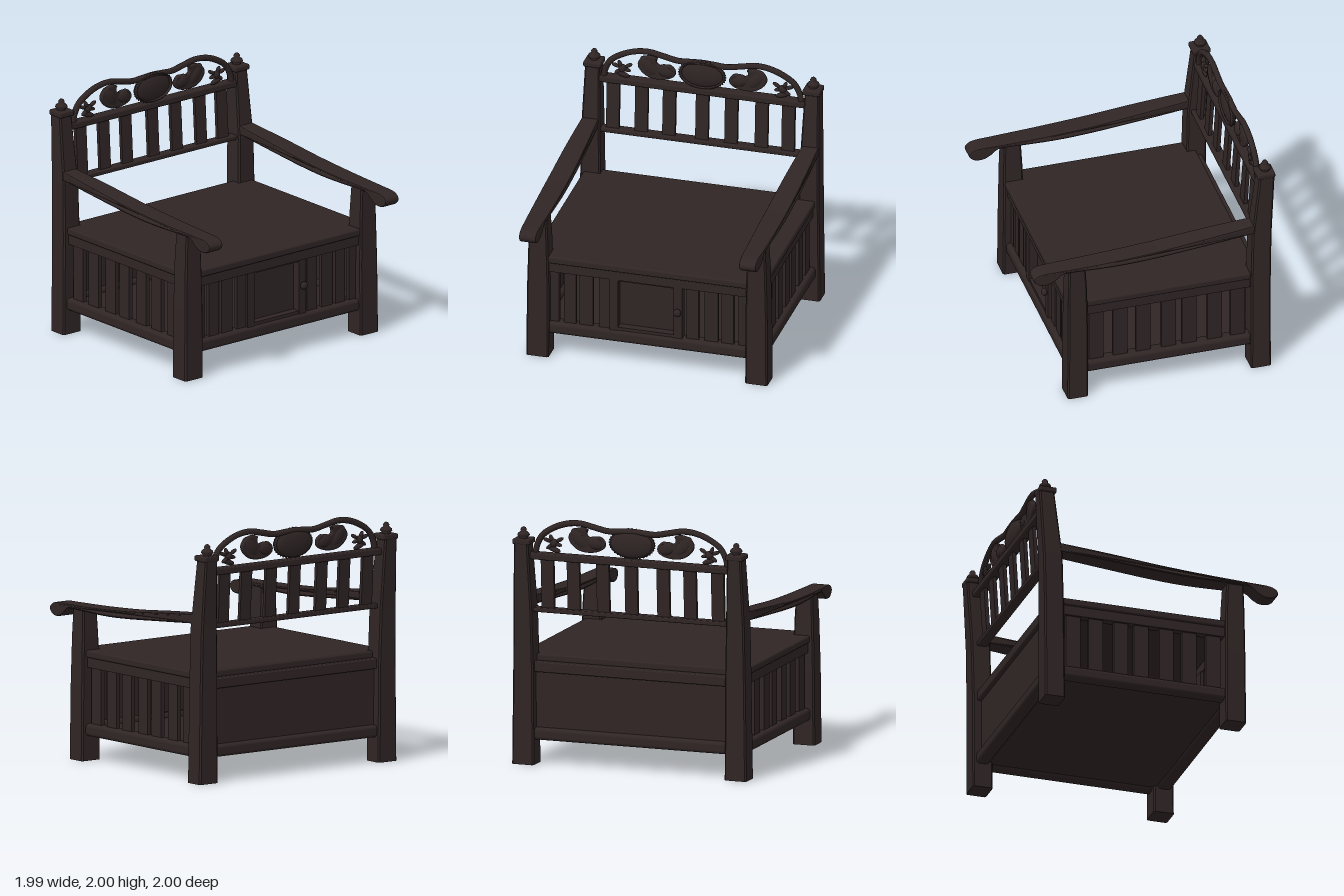
import * as THREE from 'three';
import { RoundedBoxGeometry } from 'three/addons/geometries/RoundedBoxGeometry.js';

const wood = new THREE.MeshStandardMaterial({ color: 0x302525 });
wood.name = 'dark wood';

export function createModel() {
  const model = new THREE.Group();
  model.name = 'bench';

  const add = (name, geo, x = 0, y = 0, z = 0) => {
    const m = new THREE.Mesh(geo, wood);
    m.name = name;
    m.position.set(x, y, z);
    model.add(m);
    return m;
  };
  // Box given by its extents, optionally with softened edges
  const box = (name, x0, x1, y0, y1, z0, z1, r = 0) => {
    const s = [x1 - x0, y1 - y0, z1 - z0];
    const geo = r ? new RoundedBoxGeometry(...s, 2, r) : new THREE.BoxGeometry(...s);
    return add(name, geo, (x0 + x1) / 2, (y0 + y1) / 2, (z0 + z1) / 2);
  };
  // Chamfered rectangular sections [y, x0, x1, z0, z1] joined into a post
  const post = (name, rows, side) => {
    const c = 0.012, pos = [];
    const rings = rows.map(([y, a, b, z0, z1]) => {
      const [x0, x1] = side > 0 ? [a, b] : [-b, -a];
      return [[x0 + c, z1], [x1 - c, z1], [x1, z1 - c], [x1, z0 + c],
        [x1 - c, z0], [x0 + c, z0], [x0, z0 + c], [x0, z1 - c]].map(([x, z]) => [x, y, z]);
    });
    const tri = (...p) => p.forEach((v) => pos.push(...v));
    const top = rings[rings.length - 1];
    for (let i = 0; i < 8; i++) {
      const j = (i + 1) % 8;
      for (let k = 0; k < rings.length - 1; k++) {
        tri(rings[k][i], rings[k][j], rings[k + 1][j]);
        tri(rings[k][i], rings[k + 1][j], rings[k + 1][i]);
      }
      if (i > 0 && i < 7) {
        tri(top[0], top[i], top[j]);
        tri(rings[0][0], rings[0][j], rings[0][i]);
      }
    }
    const geo = new THREE.BufferGeometry();
    geo.setAttribute('position', new THREE.Float32BufferAttribute(pos, 3));
    geo.computeVertexNormals();
    add(name, geo);
  };
  const v2 = (list) => list.map(([x, y]) => new THREE.Vector2(x, y));

  // Side profile of the arm, running z then y
  const armShape = new THREE.Shape()
    .moveTo(-0.83, 1.28).lineTo(-0.83, 1.355)
    .splineThru(v2([[-0.4, 1.315], [0, 1.275], [0.4, 1.25], [0.75, 1.238], [0.92, 1.232],
      [0.985, 1.205], [0.995, 1.165], [0.95, 1.127], [0.88, 1.125], [0.82, 1.155], [0.77, 1.195],
      [0.7, 1.205], [0.3, 1.2], [0, 1.213], [-0.4, 1.245], [-0.83, 1.28]]));
  const arm = (side) => {
    const geo = new THREE.ExtrudeGeometry(armShape, { depth: 0.14, curveSegments: 44,
      bevelEnabled: true, bevelThickness: 0.015, bevelSize: 0.012, bevelOffset: -0.012, bevelSegments: 2 });
    geo.translate(0, 0, -0.07).rotateY(-Math.PI / 2);
    const p = geo.attributes.position;
    for (let i = 0; i < p.count; i++) {
      const t = (p.getZ(i) - 0.1) / 0.9;
      p.setX(i, p.getX(i) * (1.04 - 0.22 * t * t));
    }
    geo.computeVertexNormals();
    add('armrest', geo, side * 0.907);
  };

  const finial = new THREE.LatheGeometry(v2([[0.001, 0], [0.05, 0], [0.05, 0.012], [0.03, 0.025],
    [0.05, 0.045], [0.046, 0.06], [0.022, 0.08], [0.026, 0.092], [0.016, 0.108], [0.001, 0.115]]), 16);

  for (const s of [-1, 1]) {
    // Legs, posts and arms
    post('frontLeg', [[0, 0.81, 0.995, 0.555, 0.725], [0.6, 0.81, 0.99, 0.555, 0.72],
      [1.0, 0.82, 0.98, 0.56, 0.715], [1.21, 0.83, 0.97, 0.57, 0.71]], s);
    post('backPost', [[0, 0.81, 0.995, -0.955, -0.79], [0.8, 0.815, 0.985, -0.957, -0.795],
      [1.25, 0.825, 0.98, -0.965, -0.805], [1.8, 0.845, 0.965, -0.995, -0.87]], s);
    add('postCap', new RoundedBoxGeometry(0.145, 0.045, 0.145, 2, 0.012), s * 0.903, 1.81, -0.925);
    add('finial', finial, s * 0.903, 1.81, -0.93);
    arm(s);

    // Side rails and slats
    const sideBox = (name, a, b, ...rest) =>
      s > 0 ? box(name, a, b, ...rest) : box(name, -b, -a, ...rest);
    sideBox('sideLowerRail', 0.85, 0.96, 0.2, 0.3, -0.82, 0.58, 0.03);
    sideBox('sideUpperRail', 0.87, 0.94, 0.75, 0.835, -0.82, 0.58);
    for (const z of [0.47, 0.27, 0.08, -0.13, -0.3, -0.51, -0.7])
      sideBox('sideSlat', 0.885, 0.92, 0.28, 0.77, z - 0.06, z + 0.06);
  }

  // Seat box
  box('seat', -0.82, 0.82, 0.83, 0.89, -0.87, 0.71, 0.015);
  box('seatSides', -0.955, 0.955, 0.83, 0.889, -0.8, 0.565, 0.015);
  box('frontUpperRail', -0.83, 0.83, 0.75, 0.835, 0.6, 0.69);
  box('frontLowerRail', -0.83, 0.83, 0.2, 0.3, 0.585, 0.7, 0.03);
  box('backUpperRail', -0.83, 0.83, 0.75, 0.835, -0.92, -0.83, 0.012);
  box('backLowerRail', -0.83, 0.83, 0.2, 0.3, -0.93, -0.82, 0.03);
  box('backPanel', -0.83, 0.83, 0.28, 0.77, -0.885, -0.855);
  box('floor', -0.9, 0.9, 0.225, 0.26, -0.88, 0.64);

  // Front slats and hatch
  for (const [a, b] of [[0.31, 0.41], [0.46, 0.57], [0.6, 0.7], [0.74, 0.82]])
    for (const s of [-1, 1])
      box('frontSlat', Math.min(s * a, s * b), Math.max(s * a, s * b), 0.28, 0.77, 0.625, 0.66);
  box('hatchFrameLeft', -0.32, -0.25, 0.29, 0.76, 0.61, 0.68);
  box('hatchFrameRight', 0.21, 0.28, 0.29, 0.76, 0.61, 0.68);
  box('hatchSill', -0.26, 0.22, 0.29, 0.325, 0.61, 0.675);
  box('hatchHead', -0.26, 0.22, 0.735, 0.76, 0.61, 0.675);
  box('hatchPanel', -0.26, 0.22, 0.31, 0.75, 0.585, 0.61);
  const knob = add('hatchKnob', new THREE.SphereGeometry(0.032, 16, 12), 0.245, 0.535, 0.7);
  knob.scale.z = 0.75;

  // Backrest, leaning slightly backwards
  box('backrestLowerRail', -0.84, 0.84, 1.235, 1.272, -0.92, -0.835, 0.01);
  box('backrestUpperRail', -0.85, 0.85, 1.665, 1.72, -0.95, -0.86, 0.012);
  for (const x of [-0.735, -0.5, -0.272, 0, 0.24, 0.49, 0.71]) {
    const slat = add('backrestSlat', new THREE.BoxGeometry(0.107, 0.43, 0.03), x, 1.467, -0.89);
    slat.rotation.x = -0.06;
  }

  // Crest arch
  const Z = -0.893;
  const half = [[0.815, 1.71], [0.8, 1.78], [0.755, 1.86], [0.66, 1.925], [0.55, 1.965],
    [0.44, 1.975], [0.33, 1.955], [0.2, 1.93], [0.1, 1.935]];
  const path = [...half.map(([x, y]) => [-x, y]), [0, 1.94], ...half.slice().reverse()];
  const curve = new THREE.CatmullRomCurve3(path.map(([x, y]) => new THREE.Vector3(x, y, Z)));
  add('crestArch', new THREE.TubeGeometry(curve, 90, 0.025, 8));

  // Oval medallion with rim and bead edge
  const oval = add('medallion', new THREE.SphereGeometry(1, 32, 16), 0, 1.84, Z);
  oval.scale.set(0.18, 0.112, 0.038);
  const rim = add('medallionRim', new THREE.TorusGeometry(0.18, 0.012, 8, 40), 0, 1.84, Z + 0.012);
  rim.scale.set(1, 0.63, 1.6);
  const bead = new THREE.SphereGeometry(0.007, 6, 4);
  for (let i = 0; i < 36; i++) {
    const a = (i / 36) * Math.PI * 2;
    add('medallionBead', bead, Math.cos(a) * 0.193, 1.84 + Math.sin(a) * 0.121, Z + 0.012);
  }

  // Carved scroll leaves and small flowers, mirrored
  const leafShape = (s) => {
    const pts = v2([[0.37, 1.93], [0.42, 1.945], [0.49, 1.925], [0.53, 1.875], [0.52, 1.82],
      [0.46, 1.765], [0.38, 1.745], [0.29, 1.755], [0.23, 1.79], [0.225, 1.84], [0.27, 1.88],
      [0.33, 1.865], [0.375, 1.885]].map(([x, y]) => [s * x, y]));
    return new THREE.Shape().moveTo(pts[0].x, pts[0].y).splineThru([...pts.slice(1), pts[0]]);
  };
  for (const s of [-1, 1]) {
    add('scrollLeaf', new THREE.ExtrudeGeometry(leafShape(s), { depth: 0.016, curveSegments: 40,
      bevelEnabled: true, bevelThickness: 0.012, bevelSize: 0.015, bevelOffset: -0.015,
      bevelSegments: 3 }), 0, 0, Z - 0.008);
    const lobe = (name, x, y, rx, ry, rz, turn) => {
      const m = add(name, new THREE.SphereGeometry(1, 18, 12), s * x, y, Z);
      m.scale.set(rx, ry, rz);
      m.rotation.z = s * turn;
    };
    lobe('scrollLobe', 0.3, 1.825, 0.075, 0.055, 0.035, 0.2);
    lobe('leafRidge', 0.44, 1.85, 0.1, 0.055, 0.032, 0.9);
    // Flower: core, petals and the stem tying it to the rail
    lobe('flowerCore', 0.66, 1.8, 0.035, 0.035, 0.025, 0);
    for (const [dx, dy, a] of [[0.055, 0.02, 0.3], [0.02, 0.035, 1.2], [-0.05, 0.03, -0.5],
      [-0.035, -0.01, 0.2], [0.035, -0.03, -0.6]])
      lobe('petal', 0.66 + dx, 1.8 + dy, 0.035, 0.016, 0.018, a);
    lobe('flowerStem', 0.66, 1.75, 0.06, 0.022, 0.018, 0.3);
  }

  return model;
}
